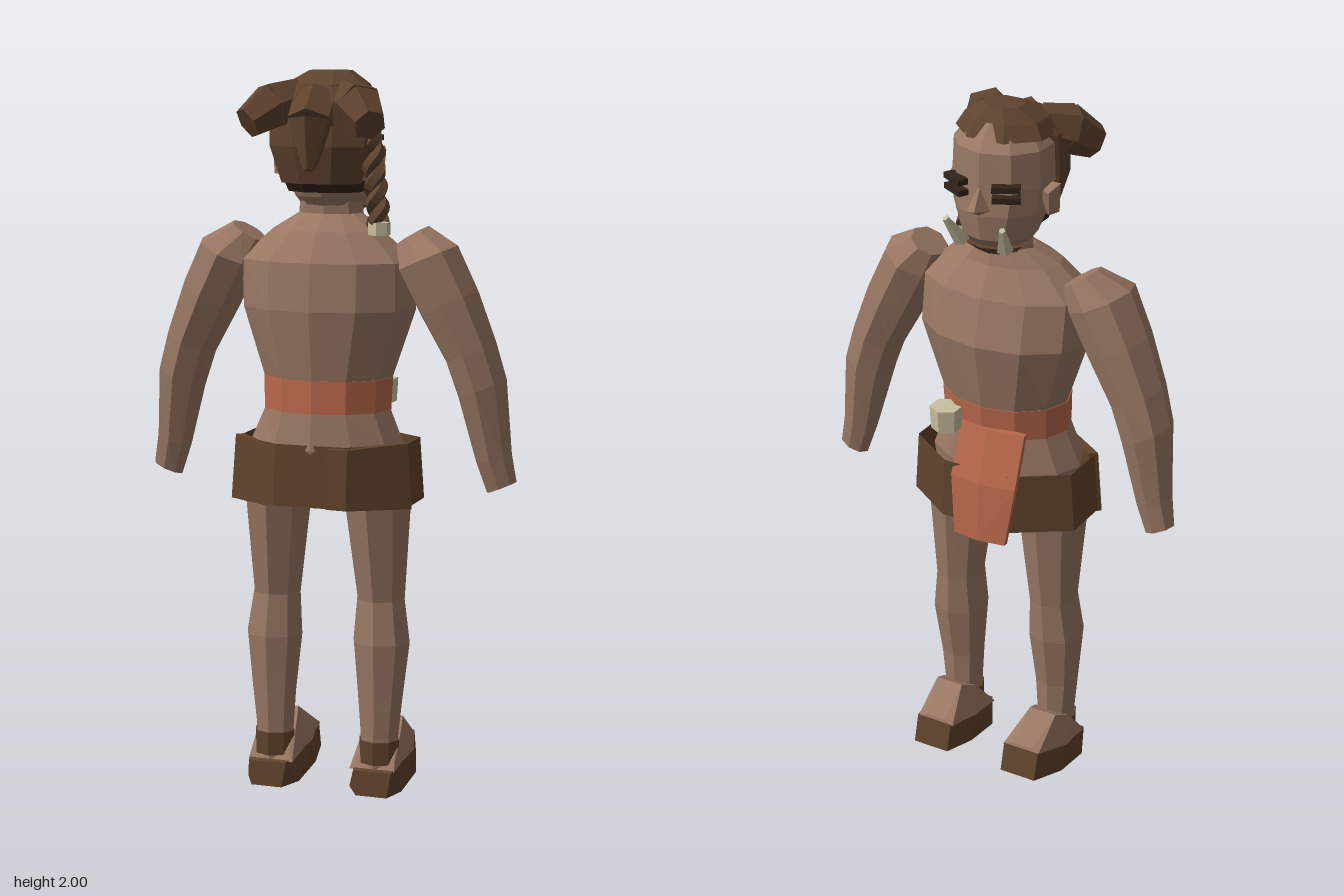
import * as THREE from 'three';
import { ConvexGeometry } from 'three/addons/geometries/ConvexGeometry.js';

const paint = (name, color, side = THREE.FrontSide) =>
  new THREE.MeshStandardMaterial({ name, color, side, flatShading: true });

// Rings are [cx, cy, cz, rx, rz, tilt], ordered from bottom to top.
function loft(rings, n, { mirror = 1, phase = 0, caps = true } = {}) {
  const pts = rings.map(([cx, cy, cz, rx, rz, tilt = 0]) => {
    const ring = [];
    for (let k = 0; k < n; k++) {
      const a = phase + (k / n) * Math.PI * 2;
      const u = Math.cos(a) * rx, t = tilt * mirror;
      ring.push([cx * mirror + u * Math.cos(t), cy + u * Math.sin(t), cz + Math.sin(a) * rz]);
    }
    return ring;
  });
  const out = [];
  const tri = (a, b, c) => out.push(...a, ...b, ...c);
  for (let i = 0; i < pts.length - 1; i++) {
    for (let k = 0; k < n; k++) {
      const j = (k + 1) % n;
      tri(pts[i][k], pts[i + 1][k], pts[i + 1][j]);
      tri(pts[i][k], pts[i + 1][j], pts[i][j]);
    }
  }
  if (caps) {
    const last = pts.length - 1;
    const mid = (i) => [rings[i][0] * mirror, rings[i][1], rings[i][2]];
    for (let k = 0; k < n; k++) {
      const j = (k + 1) % n;
      tri(mid(0), pts[0][k], pts[0][j]);
      tri(mid(last), pts[last][j], pts[last][k]);
    }
  }
  const g = new THREE.BufferGeometry();
  g.setAttribute('position', new THREE.Float32BufferAttribute(out, 3));
  g.computeVertexNormals();
  return g;
}

// Upright ring given by its front and back depth.
const span = (y, rx, front, back) => [0, y, (front + back) / 2, rx, (back - front) / 2];

const hull = (points, mirror = 1) =>
  new ConvexGeometry(points.map(([x, y, z]) => new THREE.Vector3(x * mirror, y, z)));

// Tapered prism running from a to b.
function prism(a, b, ra, rb, sides) {
  const A = new THREE.Vector3(...a), B = new THREE.Vector3(...b), d = B.clone().sub(A);
  const g = new THREE.CylinderGeometry(rb, ra, d.length(), sides);
  g.applyQuaternion(new THREE.Quaternion().setFromUnitVectors(new THREE.Vector3(0, 1, 0), d.normalize()));
  const c = A.add(B).multiplyScalar(0.5);
  return g.translate(c.x, c.y, c.z);
}

export function createModel() {
  const model = new THREE.Group();
  const skin = paint('skin', 0x9a7863);
  const hair = paint('hair brown', 0x5f432e);
  const leather = paint('leather', 0x5f432a, THREE.DoubleSide);
  const cloth = paint('terracotta cloth', 0xb9684a);
  const bone = paint('bone', 0xc9c0a0);
  const dark = paint('dark strap', 0x33241a);
  const add = (name, geometry, material) => {
    const mesh = new THREE.Mesh(geometry, material);
    mesh.name = name;
    model.add(mesh);
  };

  // Trunk, with the sash as its own band
  add('hips', loft([span(0.84, 0.2, -0.13, 0.13), span(0.98, 0.225, -0.145, 0.16), span(1.08, 0.18, -0.135, 0.148)], 12), skin);
  add('sash', loft([span(1.08, 0.183, -0.138, 0.15), span(1.17, 0.187, -0.145, 0.147)], 12), cloth);
  add('chest', loft([span(1.17, 0.185, -0.143, 0.145), span(1.36, 0.25, -0.175, 0.17),
    span(1.49, 0.25, -0.145, 0.158), span(1.57, 0.16, -0.1, 0.105), span(1.615, 0.09, -0.09, 0.05)], 12), skin);
  add('neck', loft([span(1.59, 0.093, -0.09, 0.04), span(1.72, 0.09, -0.085, 0.045)], 8), skin);

  // Skirt with overlapping side panels
  add('skirt', loft([span(0.825, 0.275, -0.19, 0.18), span(0.995, 0.262, -0.185, 0.17)], 8,
    { phase: Math.PI / 8, caps: false }), leather);
  for (const s of [1, -1]) {
    const inner = s > 0 ? 0.05 : 0.15;
    const zIn = s > 0 ? 0.17 : 0.135;
    add('skirtPanel', hull([[inner, 0.825, zIn + 0.005], [inner, 0.99, zIn], [0.262, 0.82, 0.07], [0.25, 1.0, 0.065],
      [inner, 0.825, zIn - 0.02], [inner, 0.99, zIn - 0.02], [0.24, 0.82, 0.05], [0.23, 1.0, 0.05], [0.11, 0.825, 0.18], [0.11, 0.99, 0.17]], s), leather);
  }

  // Hanging front cloth, in two bent halves
  const flap = [[1.11, -0.13, 0.065, -0.135], [0.96, -0.125, 0.075, -0.178], [0.79, -0.1, 0.06, -0.19]];
  for (let i = 0; i < 2; i++) {
    const p = [];
    for (const [y, x0, x1, z] of flap.slice(i, i + 2))
      p.push([x0, y, z], [x1, y, z], [-0.02, y, z - 0.012], [x0, y, z + 0.015], [x1, y, z + 0.015]);
    add('frontCloth', hull(p), cloth);
  }
  add('beltToggle', new THREE.CylinderGeometry(0.046, 0.042, 0.066, 6).translate(0.11, 1.113, -0.142), bone);

  for (const s of [1, -1]) {
    // Arm and fist
    add('arm', loft([
      [0.49, 0.878, -0.025, 0.045, 0.036, 0.4], [0.468, 0.96, -0.02, 0.052, 0.05, 0.25],
      [0.437, 1.15, -0.01, 0.073, 0.08, 0.4], [0.405, 1.25, -0.005, 0.076, 0.088, 0.4],
      [0.345, 1.38, 0, 0.088, 0.1, 0.42], [0.285, 1.5, 0.004, 0.091, 0.106, 0.42],
      [0.235, 1.558, -0.015, 0.053, 0.06, 0.55]], 8, { mirror: s }), skin);

    // Leg
    add('leg', loft([
      [0.155, 0.07, 0.02, 0.054, 0.05], [0.155, 0.16, 0.015, 0.055, 0.056], [0.157, 0.27, 0.015, 0.065, 0.06],
      [0.158, 0.43, 0.007, 0.082, 0.078], [0.153, 0.55, -0.002, 0.069, 0.073], [0.145, 0.82, 0.007, 0.096, 0.108],
      [0.13, 0.92, 0.007, 0.096, 0.11]], 8, { mirror: s }), skin);
    add('heelStrap', loft([[0.155, 0.085, 0.019, 0.058, 0.056], [0.155, 0.15, 0.017, 0.058, 0.059]], 8, { mirror: s }), leather);

    // Foot and wedge sole
    add('foot', hull([
      [0.085, 0.07, 0.07], [0.215, 0.07, 0.07], [0.075, 0.1, -0.06], [0.228, 0.1, -0.06], [0.085, 0.12, -0.172], [0.2, 0.12, -0.172],
      [0.1, 0.1, 0.05], [0.21, 0.1, 0.05], [0.1, 0.165, -0.01], [0.21, 0.165, -0.01],
      [0.115, 0.195, -0.068], [0.198, 0.195, -0.068], [0.115, 0.132, -0.168], [0.175, 0.132, -0.168]], s), skin);
    add('sole', hull([
      [0.11, 0, 0.09], [0.2, 0, 0.09], [0.075, 0.008, 0.04], [0.228, 0.008, 0.04],
      [0.07, 0.028, -0.09], [0.232, 0.028, -0.09], [0.09, 0.045, -0.195], [0.2, 0.045, -0.195],
      [0.1, 0.07, 0.084], [0.21, 0.07, 0.084], [0.07, 0.1, -0.06], [0.232, 0.1, -0.06],
      [0.09, 0.124, -0.175], [0.2, 0.124, -0.175]], s), leather);

    // Face details
    add('ear', hull([[0.12, 1.71, -0.005], [0.12, 1.8, 0], [0.12, 1.79, -0.045], [0.157, 1.72, 0.0],
      [0.16, 1.8, 0.0], [0.15, 1.785, -0.045], [0.145, 1.72, -0.035]], s), skin);
    for (const [y, z] of [[1.815, -0.137], [1.785, -0.135]])
      add('brow', new THREE.BoxGeometry(0.075, 0.016, 0.03).rotateY(s * -0.5).translate(s * 0.075, y, z), dark);
    add('tusk', prism([s * 0.065, 1.64, -0.125], [s * 0.085, 1.715, -0.175], 0.023, 0.009, 5), bone);

    // Side hair bunch
    add('hairBunch', prism([s * 0.07, 1.93, 0.05], [s * 0.125, 1.905, 0.115], 0.055, 0.068, 6), hair);
    add('hairBunchTip', prism([s * 0.12, 1.907, 0.11], [s * 0.172, 1.862, 0.168], 0.068, 0.046, 6), hair);
  }

  // Head
  add('head', loft([span(1.61, 0.065, -0.1, 0.02), span(1.66, 0.105, -0.145, 0.06), span(1.73, 0.13, -0.155, 0.09),
    span(1.8, 0.14, -0.148, 0.11), span(1.9, 0.135, -0.145, 0.11), span(1.965, 0.085, -0.095, 0.08)], 10, { phase: Math.PI / 10 }), skin);
  add('nose', hull([[0, 1.82, -0.135], [0.035, 1.745, -0.135], [-0.035, 1.745, -0.135],
    [0.012, 1.755, -0.192], [-0.012, 1.755, -0.192], [0, 1.73, -0.15]]), skin);
  add('jawBeard', loft([span(1.605, 0.06, -0.1, 0.0), span(1.635, 0.095, -0.138, 0.03)], 10, { phase: Math.PI / 10 }), hair);

  // Hair: crown, back of the head and nape band
  add('hairCrown', loft([span(1.925, 0.14, -0.125, 0.13), span(1.965, 0.115, -0.1, 0.11), span(2.0, 0.06, -0.07, 0.03)], 8,
    { phase: Math.PI / 8 }), hair);
  add('hairBack', loft([span(1.7, 0.115, 0.0, 0.12), span(1.8, 0.145, 0.0, 0.145), span(1.92, 0.15, -0.03, 0.14),
    span(1.96, 0.11, -0.03, 0.11)], 8, { phase: Math.PI / 8 }), hair);
  add('napeBand', loft([span(1.675, 0.108, -0.06, 0.09), span(1.705, 0.116, -0.06, 0.115)], 8, { phase: Math.PI / 8 }), dark);
  add('backBunch', prism([0, 1.93, 0.08], [0, 1.86, 0.14], 0.06, 0.068, 6), hair);
  add('backBunchTip', prism([0, 1.87, 0.135], [0, 1.74, 0.165], 0.066, 0.016, 6), hair);

  // Braid of two twisted strands with a tie
  for (const turn of [0, Math.PI]) {
    const path = [];
    for (let i = 0; i <= 20; i++) {
      const t = i / 20, a = turn + t * Math.PI * 5;
      path.push(new THREE.Vector3(0.135 + 0.033 * t + 0.014 * Math.cos(a), 1.83 - 0.24 * t, 0.04 + 0.035 * t + 0.016 * Math.sin(a)));
    }
    add('braidStrand', new THREE.TubeGeometry(new THREE.CatmullRomCurve3(path), 32, 0.02, 5), hair);
  }
  add('braidTie', new THREE.CylinderGeometry(0.031, 0.031, 0.034, 6).translate(0.17, 1.583, 0.078), bone);
  return model;
}
